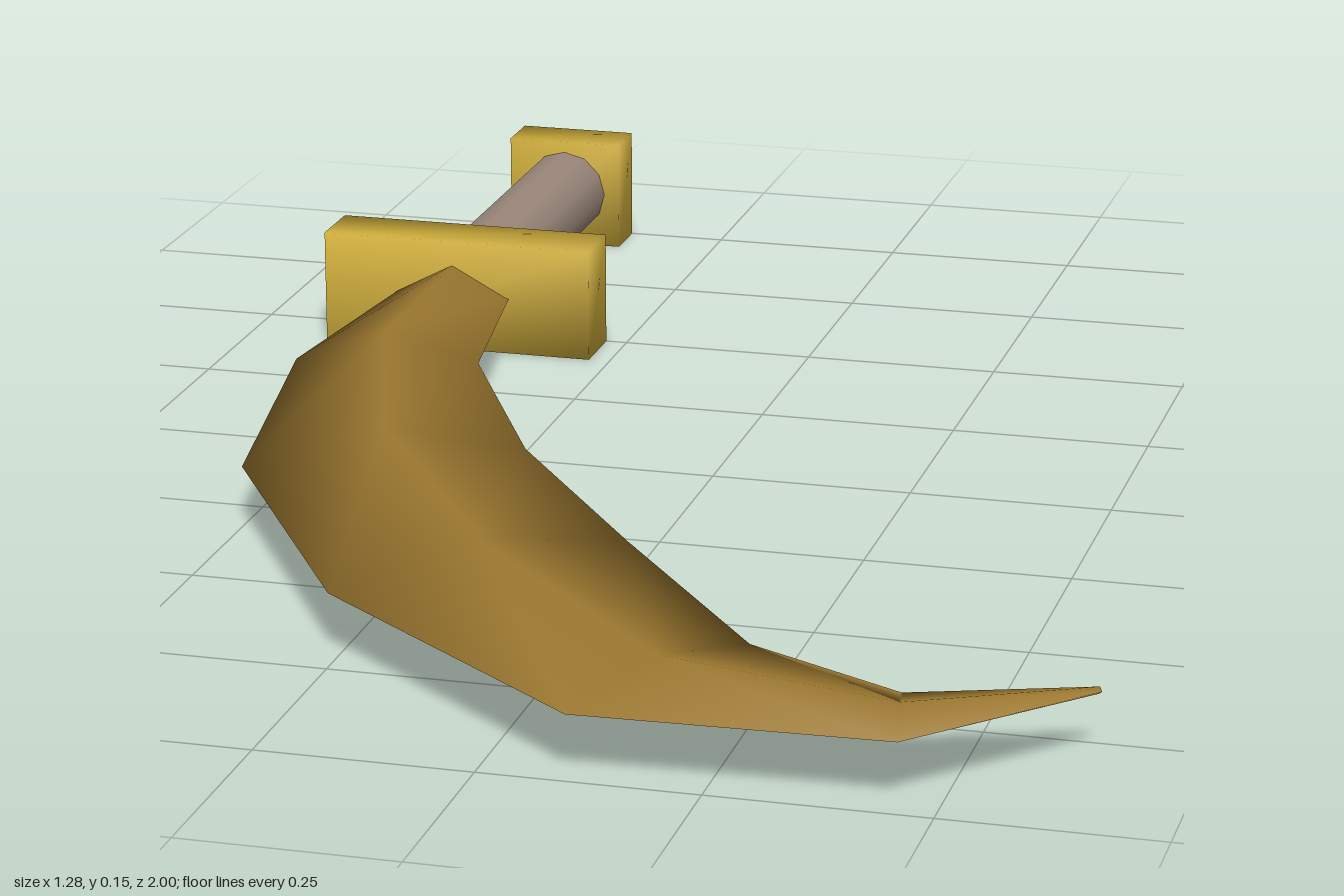
import * as THREE from 'three';
import { mergeVertices } from 'three/addons/utils/BufferGeometryUtils.js';

const AXIS_X = -0.46, MID_Y = 0.075;

// Box with soft shading shared across its corners
function softBox(w, h, d) {
  const box = new THREE.BoxGeometry(w, h, d);
  box.deleteAttribute('normal');
  box.deleteAttribute('uv');
  const geometry = mergeVertices(box);
  geometry.computeVertexNormals();
  return geometry;
}

// Curved blade: diamond cross-sections between outer and inner edge
function bladeGeometry() {
  // outer x, outer z, inner x, inner z, half thickness
  const stations = [
    [-0.54, -0.43, -0.39, -0.43, 0.04],
    [-0.575, -0.10, -0.345, -0.14, 0.042],
    [-0.50, 0.32, -0.19, 0.17, 0.039],
    [-0.26, 0.71, 0.02, 0.46, 0.035],
    [0.10, 0.997, 0.237, 0.745, 0.027],
    [0.457, 0.985, 0.43, 0.845, 0.017],
    [0.636, 0.788, 0.63, 0.78, 0.004],
  ];
  const positions = [], index = [];
  for (const [ox, oz, ix, iz, h] of stations) {
    const mx = (ox + ix) / 2, mz = (oz + iz) / 2;
    positions.push(ox, MID_Y, oz, mx, MID_Y + h, mz, ix, MID_Y, iz, mx, MID_Y - h, mz);
  }
  for (let i = 0; i < stations.length - 1; i++) {
    for (let j = 0; j < 4; j++) {
      const a = i * 4 + j, b = i * 4 + (j + 1) % 4;
      index.push(a, a + 4, b, b, a + 4, b + 4);
    }
  }
  // end cap at the tip
  const t = (stations.length - 1) * 4;
  index.push(t, t + 2, t + 1, t, t + 3, t + 2);
  const geometry = new THREE.BufferGeometry();
  geometry.setAttribute('position', new THREE.Float32BufferAttribute(positions, 3));
  geometry.setIndex(index);
  geometry.computeVertexNormals();
  return geometry;
}

export function createModel() {
  const gold = new THREE.MeshStandardMaterial({ color: 0xd2b03c });
  gold.name = 'gold';
  const bronze = new THREE.MeshStandardMaterial({ color: 0x9c7830 });
  bronze.name = 'bronze';
  const wrap = new THREE.MeshStandardMaterial({ color: 0x9a877a });
  wrap.name = 'grip wrap';

  const group = new THREE.Group();
  group.name = 'curvedSword';
  const add = (name, geometry, material, x = 0, y = 0, z = 0) => {
    const mesh = new THREE.Mesh(geometry, material);
    mesh.name = name;
    mesh.position.set(x, y, z);
    group.add(mesh);
  };

  add('blade', bladeGeometry(), bronze);
  add('guard', softBox(0.364, 0.148, 0.085), gold, AXIS_X, 0.074, -0.4575);
  add('pommel', softBox(0.158, 0.148, 0.07), gold, AXIS_X, 0.074, -0.965);

  // grip between guard and pommel
  const grip = new THREE.CylinderGeometry(0.058, 0.058, 0.45, 12).rotateX(Math.PI / 2);
  add('grip', grip, wrap, AXIS_X, MID_Y, -0.715);
  return group;
}
